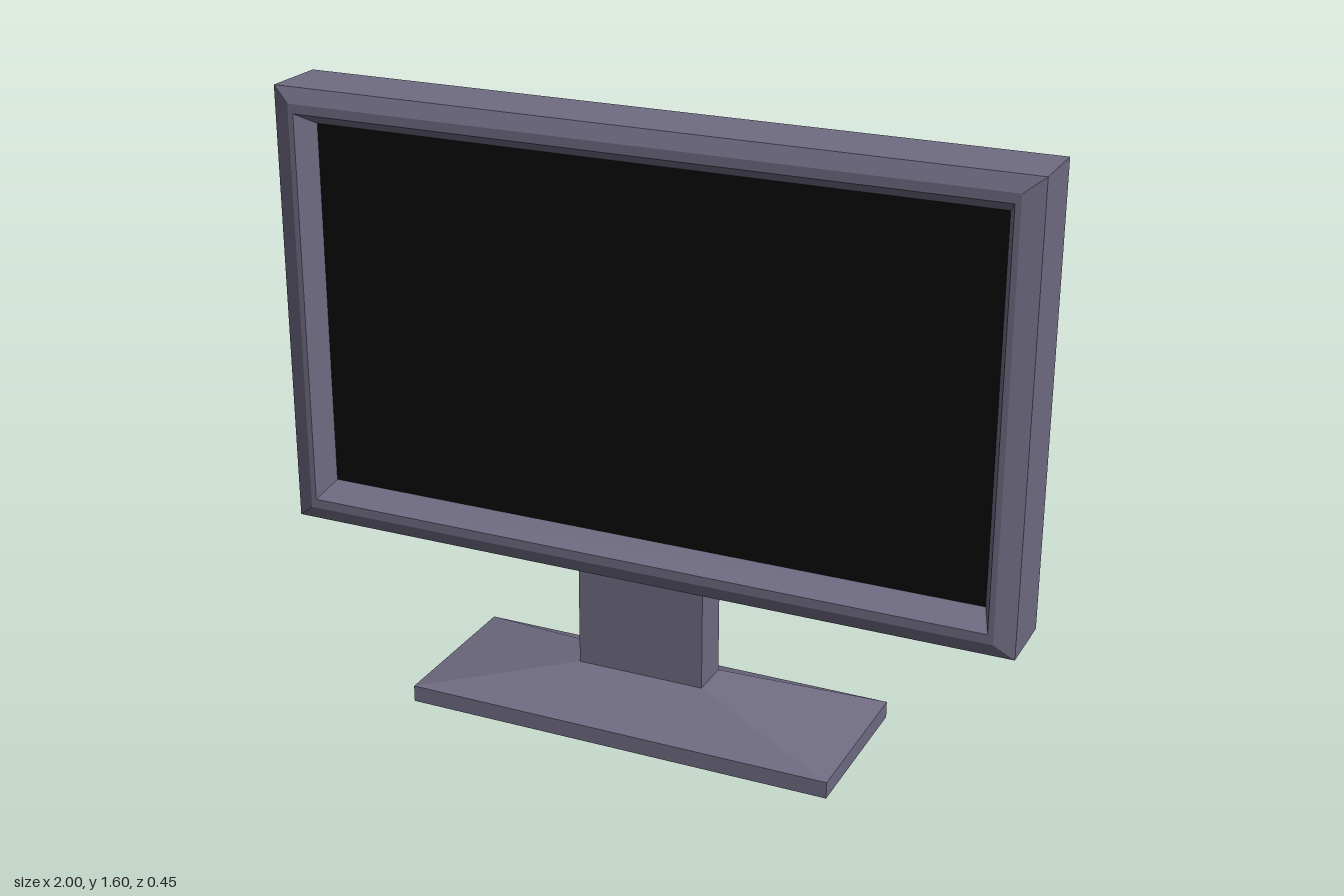
import * as THREE from 'three';

const body = new THREE.MeshStandardMaterial({ color: 0x6f6b82, flatShading: true });
const black = new THREE.MeshStandardMaterial({ color: 0x0a0a0a });

// Joins rectangular rings [halfWidth, halfHeight, z] in order, closing the first one
function loftRects(rings) {
  const corners = rings.map(([w, h, z]) => [[w, -h, z], [w, h, z], [-w, h, z], [-w, -h, z]]);
  const pos = [];
  const quad = (a, b, c, d) => pos.push(...a, ...b, ...c, ...a, ...c, ...d);
  const first = corners[0];
  quad(first[3], first[2], first[1], first[0]);
  for (let r = 0; r < corners.length - 1; r++) {
    for (let i = 0; i < 4; i++) {
      const j = (i + 1) % 4;
      quad(corners[r][i], corners[r][j], corners[r + 1][j], corners[r + 1][i]);
    }
  }
  const g = new THREE.BufferGeometry();
  g.setAttribute('position', new THREE.Float32BufferAttribute(pos, 3));
  g.computeVertexNormals();
  return g;
}

export function createModel() {
  const model = new THREE.Group();
  model.name = 'monitor';
  const add = (name, geometry, material, y, z = 0) => {
    const mesh = new THREE.Mesh(geometry, material);
    mesh.name = name;
    mesh.position.set(0, y, z);
    model.add(mesh);
  };

  // Casing: flat back, bevelled front edge, sloped recess down to the screen
  add('casing', loftRects([
    [1, 0.594, -0.09],
    [1, 0.594, 0.09],
    [0.95, 0.555, 0.11],
    [0.935, 0.53, 0.11],
    [0.908, 0.493, 0.043],
  ]), body, 1.007);

  // Screen at the bottom of the recess
  add('screen', new THREE.PlaneGeometry(1.816, 0.986), black, 1.007, 0.043);

  // Neck between base and casing
  add('neck', new THREE.BoxGeometry(0.35, 0.285, 0.11), body, 0.2725);

  // Base: thin slab whose top slopes up to the neck
  const base = loftRects([
    [0.585, 0.223, 0],
    [0.585, 0.223, 0.045],
    [0.175, 0.055, 0.13],
  ]).rotateX(-Math.PI / 2);
  add('base', base, body, 0);

  return model;
}
